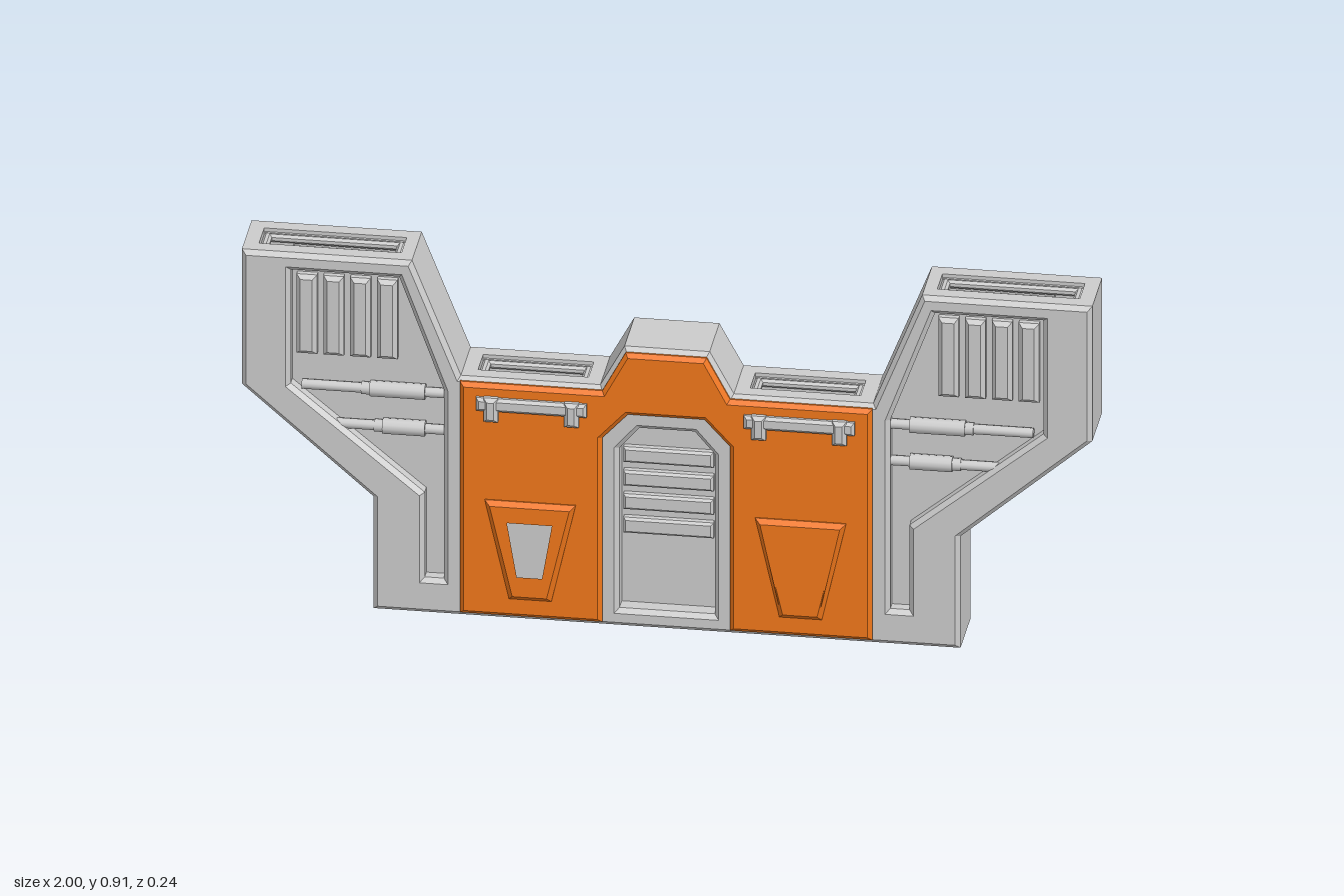
import * as THREE from 'three';

const grey = new THREE.MeshStandardMaterial({ color: 0xcccccc });
const orange = new THREE.MeshStandardMaterial({ color: 0xf0771a });

// Closed shape from points; side = -1 mirrors it in x
const shapeOf = (pts, side = 1) => new THREE.Shape(pts.map(([x, y]) => new THREE.Vector2(x * side, y)));
// Full outline from its right half, listed bottom to top
const symmetric = (half) => [...half, ...half.slice().reverse().map(([x, y]) => [-x, y])];
const rect = (x, y, w, h) => [[x - w / 2, y - h / 2], [x + w / 2, y - h / 2], [x + w / 2, y + h / 2], [x - w / 2, y + h / 2]];

// Slab between z0 and z1, bevelled inward so the outline keeps its size
function slab(name, shape, z0, z1, bevel = 0, material = grey) {
  const geometry = new THREE.ExtrudeGeometry(shape, {
    depth: z1 - z0 - 2 * bevel, bevelEnabled: bevel > 0, bevelSegments: 1,
    bevelSize: bevel, bevelThickness: bevel, bevelOffset: -bevel, curveSegments: 1,
  });
  geometry.translate(0, 0, z0 + bevel);
  const mesh = new THREE.Mesh(geometry, material);
  mesh.name = name;
  return mesh;
}

// Right halves of the outlines
const bodyHalf = [[0.69, 0], [0.69, 0.29], [1, 0.56], [1, 0.91], [0.6, 0.91], [0.485, 0.62], [0.157, 0.62], [0.1, 0.725]];
const notchedHalf = [
  [0.69, 0], [0.69, 0.29], [1, 0.56], [1, 0.91],
  [0.965, 0.91], [0.965, 0.87], [0.63, 0.87], [0.63, 0.91],
  [0.6, 0.91], [0.485, 0.62],
  [0.45, 0.62], [0.45, 0.58], [0.19, 0.58], [0.19, 0.62],
  [0.157, 0.62], [0.1, 0.725],
];
const doorHalf = [[0.112, 0.045], [0.112, 0.46], [0.065, 0.515]];
const wingRecess = [[0.525, 0.09], [0.57, 0.09], [0.57, 0.31], [0.885, 0.57], [0.885, 0.865], [0.63, 0.865], [0.525, 0.58]];
const panelOutline = [
  ...symmetric([[0.485, 0.012], [0.485, 0.612], [0.15, 0.612], [0.095, 0.715]]),
  // door notch, open at the bottom
  [-0.15, 0.012], [-0.15, 0.49], [-0.09, 0.555], [0.09, 0.555], [0.15, 0.49], [0.15, 0.012],
];

// Round rod lying along x, with a thicker sleeve
function pipe(side, y, inner, outer, sleeveIn, sleeveOut) {
  const group = new THREE.Group();
  group.name = 'pipe';
  for (const [a, b, r] of [[inner, outer, 0.012], [sleeveIn, sleeveOut, 0.019], [sleeveOut, sleeveOut + 0.02, 0.015]]) {
    const rod = new THREE.Mesh(new THREE.CylinderGeometry(r, r, b - a, 12), grey);
    rod.rotation.z = Math.PI / 2;
    rod.position.set(side * (a + b) / 2, y, 0.064);
    group.add(rod);
  }
  return group;
}

// Everything visible on one long face of the wall
function createFace() {
  const face = new THREE.Group();
  face.name = 'face';

  // Recess floor, then the framed face in front of it
  const floor = shapeOf(symmetric(bodyHalf));
  floor.holes.push(shapeOf(symmetric(doorHalf)));
  face.add(slab('recessFloor', floor, 0.04, 0.05));
  const frame = shapeOf(symmetric(bodyHalf));
  frame.holes.push(shapeOf(symmetric(doorHalf)), shapeOf(wingRecess), shapeOf(wingRecess, -1));
  face.add(slab('frame', frame, 0.038, 0.086, 0.011));

  // Coloured armour plate around the door
  face.add(slab('armourPlate', shapeOf(panelOutline), 0.075, 0.1, 0.01, orange));

  // Door slats
  for (let i = 0; i < 4; i++) {
    face.add(slab('doorSlat', shapeOf(rect(0, 0.25 + i * 0.061, 0.212, 0.04)), 0.03, 0.06, 0.006));
  }

  for (const side of [1, -1]) {
    // Upright vents in the wing
    for (let i = 0; i < 4; i++) {
      face.add(slab('vent', shapeOf(rect(side * (0.66 + i * 0.063), 0.747, 0.048, 0.205)), 0.04, 0.074, 0.01));
    }

    // Horizontal pipes under the vents
    face.add(pipe(side, 0.565, 0.525, 0.86, 0.57, 0.7));
    face.add(pipe(side, 0.47, 0.525, 0.78, 0.57, 0.67));

    // Tapered window with a raised surround
    const surround = shapeOf([[0.268, 0.062], [0.368, 0.062], [0.425, 0.315], [0.211, 0.315]], side);
    surround.holes.push(shapeOf([[0.278, 0.113], [0.358, 0.113], [0.384, 0.275], [0.252, 0.275]], side));
    face.add(slab('windowSurround', surround, 0.085, 0.115, 0.012, orange));
    face.add(slab('windowPane', shapeOf([[0.27, 0.105], [0.366, 0.105], [0.392, 0.283], [0.244, 0.283]], side), 0.09, 0.102));

    // Rail held by two brackets
    face.add(slab('rail', shapeOf(rect(side * 0.315, 0.564, 0.26, 0.034)), 0.09, 0.114, 0.007));
    for (const x of [0.22, 0.41]) {
      face.add(slab('railBracket', shapeOf(rect(side * x, 0.552, 0.034, 0.062)), 0.088, 0.119, 0.009));
    }
  }
  return face;
}

export function createModel() {
  const model = new THREE.Group();
  model.name = 'fortifiedGate';

  // Core with pockets cut into its top edge
  model.add(slab('core', shapeOf(symmetric(notchedHalf)), -0.04, 0.04));

  // Sloped lips inside the top pockets
  for (const side of [1, -1]) {
    for (const [x, y, width] of [[0.7975, 0.9, 0.335], [0.32, 0.61, 0.26]]) {
      const ring = shapeOf(rect(0, 0, width, 0.08));
      ring.holes.push(shapeOf(rect(0, 0, width - 0.04, 0.05)));
      const lip = slab('pocketLip', ring, -0.02, 0, 0.006);
      lip.rotation.x = -Math.PI / 2;
      lip.position.set(side * x, y, 0);
      model.add(lip);
    }
  }

  // The same face on both sides
  const front = createFace();
  front.name = 'frontFace';
  const back = createFace();
  back.name = 'backFace';
  back.rotation.y = Math.PI;
  model.add(front, back);
  return model;
}
